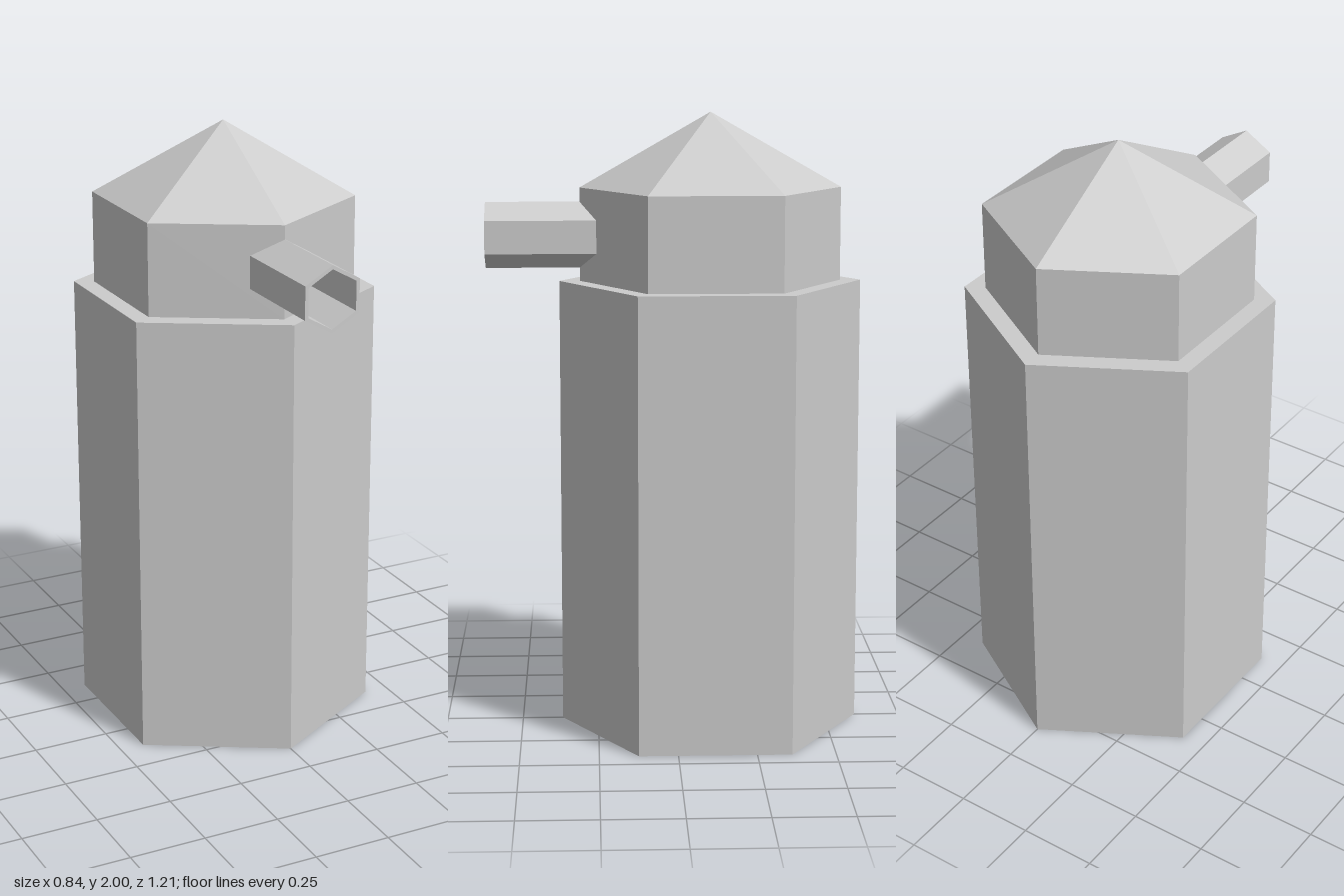
import * as THREE from 'three';

const SIDES = 6;
const AXIS_Z = -0.118;

// Six-sided faceted solid turned from [radius, height] points
function hexTurned(name, profile) {
  const points = profile.map(([r, y]) => new THREE.Vector2(r, y));
  const material = new THREE.MeshStandardMaterial({ color: 0xcccccc, flatShading: true });
  const mesh = new THREE.Mesh(new THREE.LatheGeometry(points, SIDES), material);
  mesh.name = name;
  return mesh;
}

export function createModel() {
  const model = new THREE.Group();
  model.name = 'hexagonalDispenser';

  // Tall body with a flat shoulder
  const body = hexTurned('body', [[0, 0], [0.486, 0], [0.486, 1.46], [0, 1.46]]);
  body.position.z = AXIS_Z;

  // Narrower collar
  const collar = hexTurned('collar', [[0.42, 1.46], [0.42, 1.76]]);
  collar.position.z = AXIS_Z;

  // Pointed roof
  const roof = hexTurned('roof', [[0.42, 1.76], [0, 2]]);
  roof.position.z = AXIS_Z;

  // Hollow spout pointing forward, closed off at the collar
  const spout = hexTurned('spout', [[0, 0.2], [0.106, 0.2], [0.106, 0.604], [0.093, 0.604], [0.093, 0.31], [0, 0.31]]);
  spout.rotation.x = Math.PI / 2;
  spout.position.y = 1.609;

  model.add(body, collar, roof, spout);
  return model;
}
